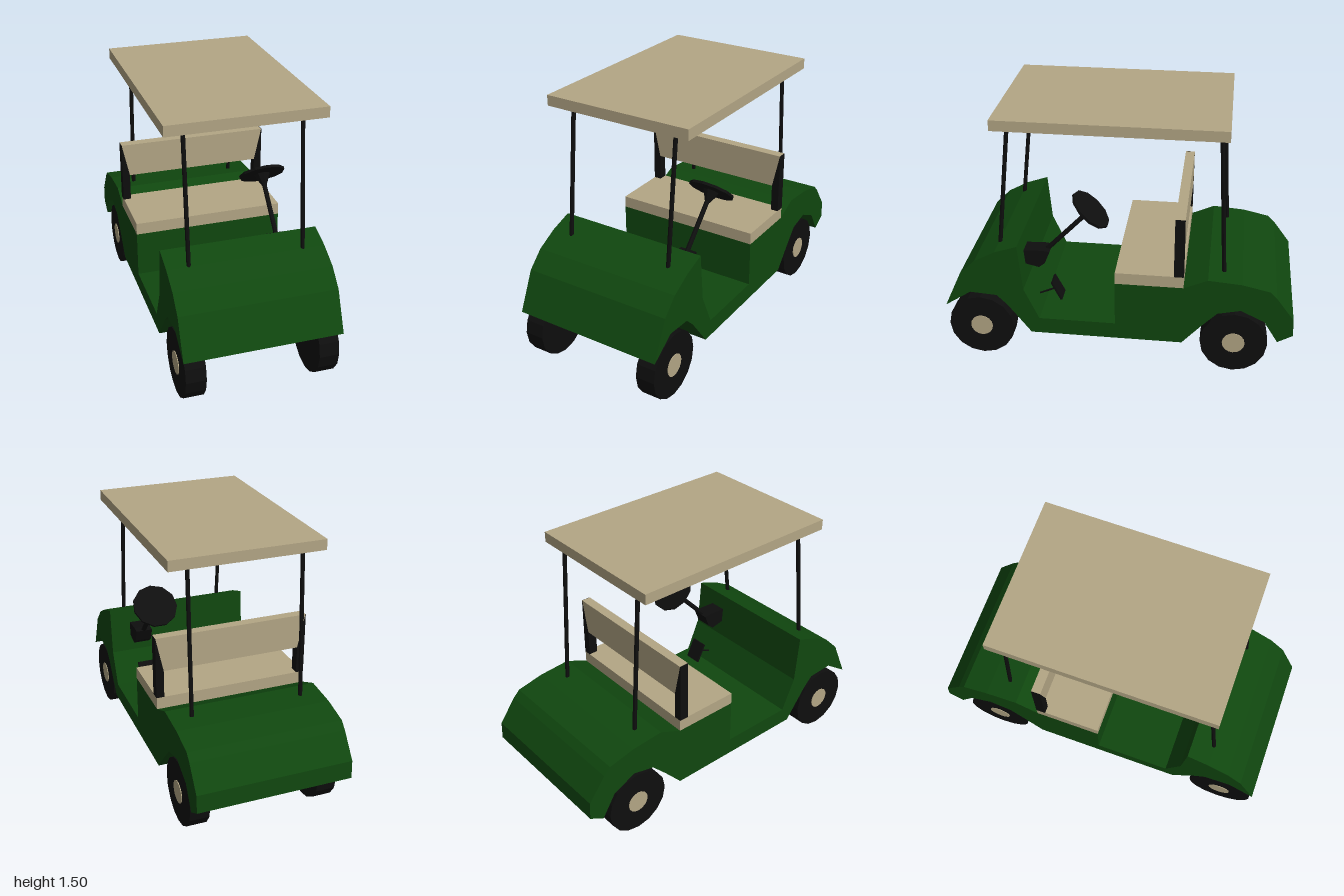
import * as THREE from 'three';

const mat = (name, color) => {
  const m = new THREE.MeshStandardMaterial({ color, flatShading: true });
  m.name = name;
  return m;
};

export function createModel() {
  const green = mat('green paint', 0x10470f);
  const beige = mat('beige', 0xb3a685);
  const black = mat('black', 0x0e0e0e);
  const cart = new THREE.Group();
  cart.name = 'golfCart';

  const add = (name, geometry, material, x = 0, y = 0, z = 0) => {
    const mesh = new THREE.Mesh(geometry, material);
    mesh.name = name;
    mesh.position.set(x, y, z);
    cart.add(mesh);
    return mesh;
  };
  const extrude = (points, depth) => {
    const shape = new THREE.Shape(points.map(([a, b]) => new THREE.Vector2(a, b)));
    return new THREE.ExtrudeGeometry(shape, { depth, bevelEnabled: false }).translate(0, 0, -depth / 2);
  };
  // Side outline given as [z, y], extruded across the width
  const sideProfile = (points, width) => extrude(points, width).rotateY(-Math.PI / 2);
  // Round bar between two points
  const bar = (name, from, to, r0, r1, sides) => {
    const a = new THREE.Vector3(...from), b = new THREE.Vector3(...to);
    const dir = b.clone().sub(a);
    const mesh = add(name, new THREE.CylinderGeometry(r1, r0, dir.length(), sides), black);
    mesh.position.copy(a).add(b).multiplyScalar(0.5);
    mesh.quaternion.setFromUnitVectors(new THREE.Vector3(0, 1, 0), dir.normalize());
    return mesh;
  };

  // Body shell with wheel arches, floor and seat base
  add('body', sideProfile([
    [1, 0.33], [0.9, 0.55], [0.81, 0.64], [0.69, 0.705], [0.56, 0.75],
    [0.535, 0.47], [0.45, 0.28], [0.01, 0.28], [0.01, 0.55], [-0.375, 0.55],
    [-0.51, 0.61], [-0.7, 0.595], [-0.855, 0.56], [-0.895, 0.52], [-0.995, 0.385],
    [-1, 0.28], [-0.915, 0.23], [-0.835, 0.36], [-0.7, 0.425], [-0.57, 0.395],
    [-0.48, 0.3], [-0.375, 0.18], [0.5, 0.18], [0.635, 0.36], [0.695, 0.42], [0.85, 0.43],
  ], 0.886), green);

  // Seat and tapered backrest
  add('seatCushion', new THREE.BoxGeometry(0.886, 0.07, 0.385), beige, 0, 0.585, -0.183);
  add('backrest', extrude([[-0.4, 0.78], [0.4, 0.78], [0.443, 0.98], [-0.443, 0.98]], 0.055),
    beige, 0, 0, -0.348);
  for (const s of [-1, 1]) {
    const side = s > 0 ? 'left' : 'right';
    const outline = [[0.4, 0.62], [0.445, 0.62], [0.445, 0.98], [0.443, 0.98], [0.4, 0.78]];
    add(side + 'BackrestBracket', extrude(outline.map(([x, y]) => [s * x, y]), 0.055), black, 0, 0, -0.348);

    // Roof posts
    bar(side + 'FrontPost', [s * 0.32, 0.7, 0.683], [s * 0.32, 1.45, 0.599], 0.012, 0.012, 8);
    bar(side + 'RearPost', [s * 0.32, 0.59, -0.596], [s * 0.32, 1.45, -0.545], 0.012, 0.012, 8);

    // Wheels with hubs on the outside
    for (const [end, z] of [['Front', 0.8], ['Rear', -0.67]]) {
      add(side + end + 'Wheel', new THREE.CylinderGeometry(0.192, 0.192, 0.113, 16).rotateZ(Math.PI / 2),
        black, s * 0.373, 0.194, z);
      add(side + end + 'Hub', new THREE.CylinderGeometry(0.065, 0.065, 0.008, 16).rotateZ(Math.PI / 2),
        beige, s * 0.4295, 0.194, z);
    }
  }

  // Roof
  add('roof', new THREE.BoxGeometry(0.874, 0.06, 1.26), beige, 0, 1.47, 0.04);

  // Steering wheel, hub, column and column mount
  const x = 0.27;
  bar('steeringWheel', [x, 0.914, 0.17], [x, 0.925, 0.16], 0.132, 0.132, 11);
  bar('steeringHub', [x, 0.865, 0.212], [x, 0.916, 0.168], 0.014, 0.05, 8);
  bar('steeringColumn', [x, 0.62, 0.45], [x, 0.9, 0.183], 0.014, 0.014, 8);
  add('columnMount', sideProfile([
    [0.56, 0.655], [0.45, 0.66], [0.4, 0.655], [0.43, 0.58], [0.465, 0.55], [0.55, 0.57],
  ], 0.1), black, x);

  // Pedal on its arm
  bar('pedalArm', [x, 0.335, 0.49], [x, 0.39, 0.368], 0.006, 0.006, 6);
  const pedal = add('pedal', new THREE.BoxGeometry(0.1, 0.123, 0.012), black, x, 0.39, 0.368);
  pedal.rotation.x = Math.atan2(0.055, 0.11);

  return cart;
}
